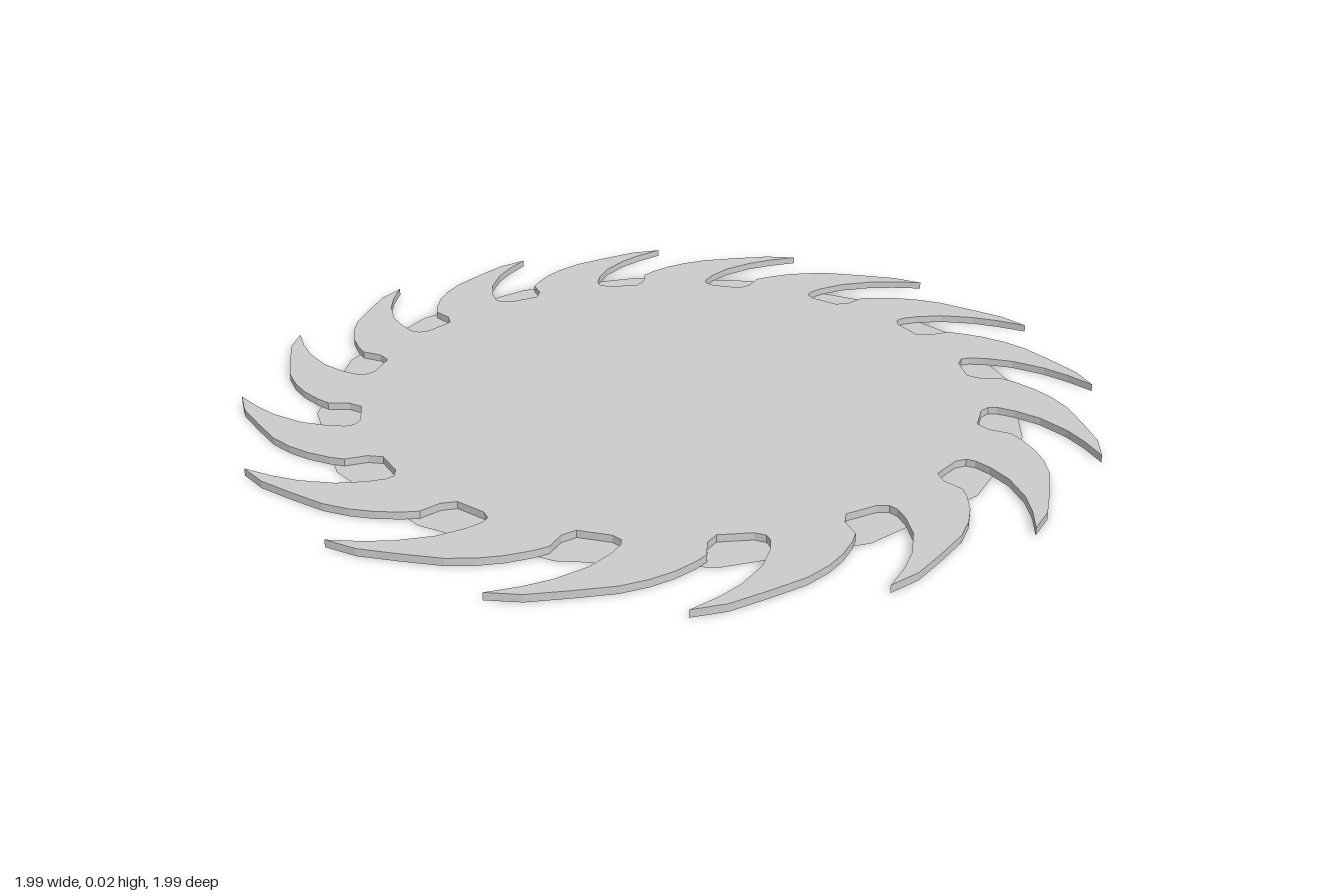
import * as THREE from 'three';

const TEETH = 16;
const THICKNESS = 0.017;
const BASE_RADIUS = 0.82;

// One tooth from its tip: hooked inner edge, gullet, then the back of the next tooth.
const TOOTH = [
  [0.08, 0.997], [0.02, 0.957], [-0.03, 0.914], [-0.08, 0.85], [-0.105, 0.79],
  [-0.113, 0.75], [-0.108, 0.73], [-0.085, 0.717], [-0.01, 0.717], [0.012, 0.745],
  [0.02, 0.795], [0.045, 0.82], [0.09, 0.853], [0.14, 0.878], [0.2, 0.896], [0.29, 0.903], [0.38, 0.907],
];

export function createModel() {
  const model = new THREE.Group();
  model.name = 'sawBlade';
  const material = new THREE.MeshStandardMaterial({
    color: 0xcccccc, flatShading: true, side: THREE.DoubleSide,
  });

  // Toothed blade: the tooth outline repeated clockwise around the centre
  const outline = [];
  const centre = new THREE.Vector2();
  for (let i = 0; i < TEETH; i++) {
    const turn = -i * 2 * Math.PI / TEETH;
    for (const [x, y] of TOOTH) outline.push(new THREE.Vector2(x, y).rotateAround(centre, turn));
  }
  const bladeGeometry = new THREE.ExtrudeGeometry(new THREE.Shape(outline), {
    depth: THICKNESS, bevelEnabled: false,
  });
  bladeGeometry.rotateX(-Math.PI / 2);
  const blade = new THREE.Mesh(bladeGeometry, material);
  blade.name = 'toothedBlade';
  model.add(blade);

  // Thin backing plate that shows at the bottom of the gullets
  const plateGeometry = new THREE.CircleGeometry(BASE_RADIUS, TEETH);
  plateGeometry.rotateX(-Math.PI / 2);
  const plate = new THREE.Mesh(plateGeometry, material);
  plate.name = 'backingPlate';
  plate.position.y = 0.0005;
  model.add(plate);

  return model;
}
